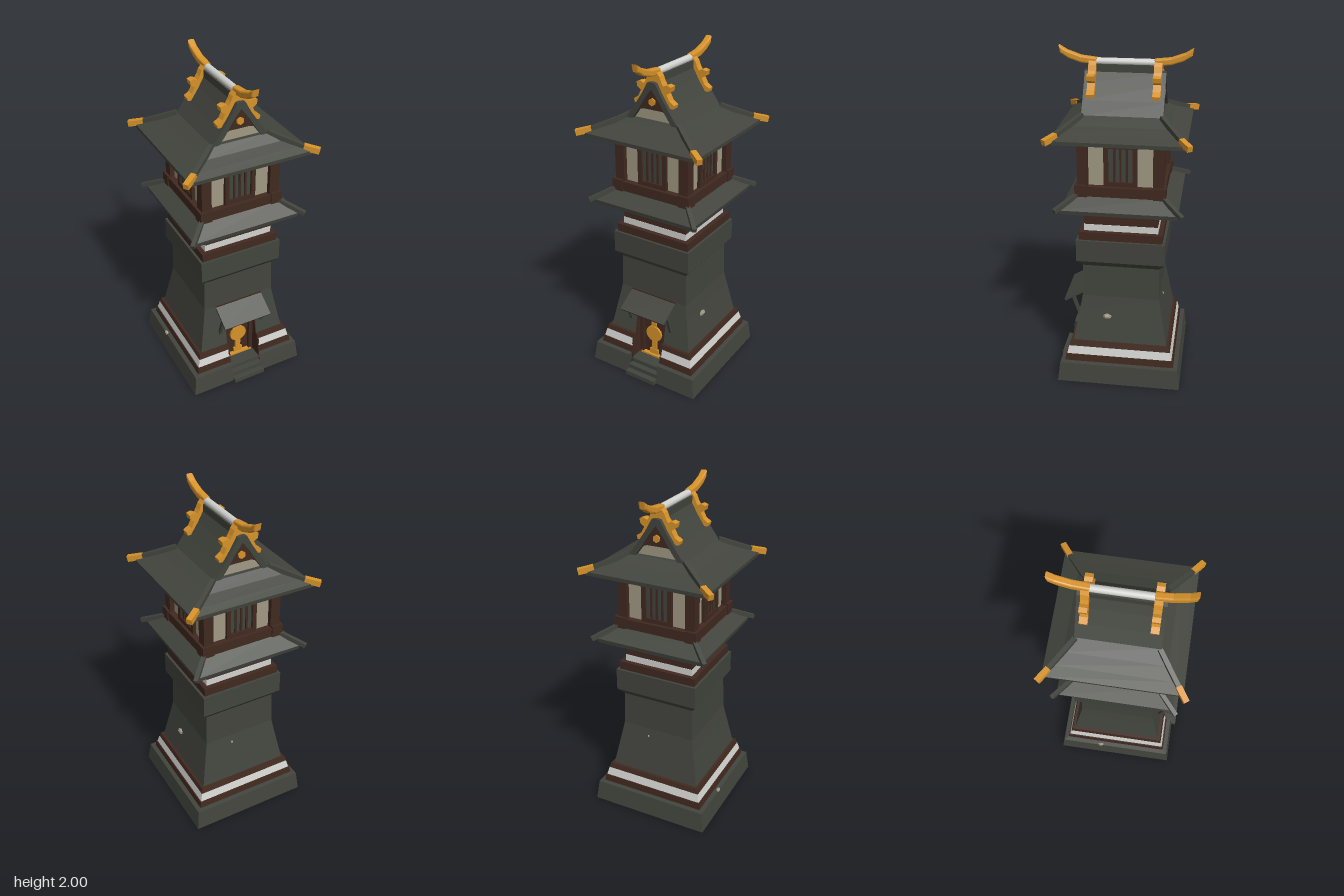
import * as THREE from 'three';

const mat = (name, color) => new THREE.MeshStandardMaterial({ name, color, side: THREE.DoubleSide });

export function createModel() {
  const slate = mat('slate', 0x42443d), brown = mat('dark timber', 0x40291f);
  const cream = mat('cream plaster', 0xa09883), white = mat('white plaster', 0xd2d2cf);
  const gold = mat('gold', 0xd6922a);
  const model = new THREE.Group();
  model.name = 'tower';

  const add = (name, geo, material, parent = model) => {
    const m = new THREE.Mesh(geo, material);
    m.name = name;
    parent.add(m);
    return m;
  };
  const box = (name, w, h, d, x, y, z, material, parent) => {
    const m = add(name, new THREE.BoxGeometry(w, h, d), material, parent);
    m.position.set(x, y, z);
    return m;
  };
  // Square bar between two points
  const beam = (name, a, b, w, h, material, parent) => {
    const p = new THREE.Vector3(...a), q = new THREE.Vector3(...b);
    const m = box(name, w, h, p.distanceTo(q), 0, 0, 0, material, parent);
    m.position.copy(p).add(q).multiplyScalar(0.5);
    m.lookAt(q);
    return m;
  };
  // Four-sided shell through rings [halfX, y, halfZ = halfX]; notch leaves a gap in the front
  const shell = (name, rings, material, notch = 0) => {
    const section = ([hx, y, hz = hx]) => {
      const corners = [[hx, hz], [hx, -hz], [-hx, -hz], [-hx, hz]];
      const pts = notch ? [[notch, hz], ...corners, [-notch, hz]] : [[-hx, hz], ...corners];
      return pts.map(([x, z]) => [x, y, z]);
    };
    const pos = [];
    for (let r = 0; r < rings.length - 1; r++) {
      const a = section(rings[r]), b = section(rings[r + 1]);
      for (let i = 0; i < a.length - 1; i++) {
        pos.push(...a[i], ...a[i + 1], ...b[i + 1], ...a[i], ...b[i + 1], ...b[i]);
      }
    }
    const g = new THREE.BufferGeometry();
    g.setAttribute('position', new THREE.Float32BufferAttribute(pos, 3));
    g.computeVertexNormals();
    return add(name, g, material);
  };
  // Flat outline extruded along z, centred on z = 0
  const plate = (pts, depth, bevel = 0) => {
    const shape = new THREE.Shape(pts.map(p => new THREE.Vector2(...p)));
    const g = new THREE.ExtrudeGeometry(shape, {
      depth: depth - 2 * bevel, bevelEnabled: bevel > 0, bevelSize: bevel, bevelThickness: bevel,
      bevelOffset: -bevel, bevelSegments: 2,
    });
    return g.translate(0, 0, -(depth - 2 * bevel) / 2);
  };
  // Outline given in (z, y), extruded across x
  const sidePlate = (pts, width, bevel) => plate(pts, width, bevel).rotateY(-Math.PI / 2);
  const mirrored = pts => [...pts, ...pts.filter(p => p[0] !== 0).reverse().map(([x, y]) => [-x, y])];

  // Hollow lower tower with a doorway in the front
  const n = 0.105;
  shell('base', [[0.33, 0.125], [0.345, 0], [0.375, 0], [0.36, 0.125], [0.325, 0.128]], slate, n);
  shell('lowerTimberBand', [[0.333, 0.126], [0.328, 0.17], [0.315, 0.17]], brown, n);
  shell('whiteBand', [[0.322, 0.17], [0.31, 0.22]], white, n);
  shell('upperTimberBand', [[0.308, 0.218], [0.31, 0.22], [0.302, 0.25], [0.28, 0.25]], brown, n);
  shell('lowerBody', [[0.285, 0.25], [0.248, 0.45]], slate, n);
  shell('upperBody', [[0.248, 0.45], [0.232, 0.54], [0.227, 0.745], [0.26, 0.785], [0.26, 0.92], [0.2, 0.92]], slate);

  // Doorway, door and steps
  for (const s of [-1, 1]) {
    const jamb = sidePlate([[0.2, 0.09], [0.33, 0.09], [0.33, 0.13], [0.305, 0.25], [0.284, 0.25], [0.247, 0.45], [0.2, 0.45]], 0.01);
    add('doorJamb', jamb, brown).position.x = s * n;
    box('doorPost', 0.03, 0.37, 0.02, s * 0.088, 0.265, 0.235, brown);
    beam('porchStrut', [s * 0.145, 0.34, 0.265], [s * 0.145, 0.48, 0.31], 0.018, 0.018, slate);
  }
  box('door', 0.21, 0.37, 0.02, 0, 0.265, 0.215, brown);
  box('doorPole', 0.036, 0.36, 0.036, 0, 0.27, 0.217, gold);
  box('doorPoleFoot', 0.06, 0.04, 0.04, 0, 0.11, 0.217, gold);
  box('doorSill', 0.18, 0.012, 0.05, 0, 0.09, 0.225, gold);
  add('doorDisc', new THREE.CylinderGeometry(0.056, 0.056, 0.044, 12).rotateX(Math.PI / 2), gold).position.set(0, 0.25, 0.217);
  [0.4, 0.365, 0.33].forEach((z, i) => box('step', 0.21, 0.028, z - 0.2, 0, 0.014 + 0.028 * i, (z + 0.2) / 2, slate));
  const porch = box('porchRoof', 0.315, 0.014, 0.158, 0, 0.49, 0.293, slate);
  porch.rotation.x = 0.535;
  box('porchBatten', 0.315, 0.012, 0.014, 0, 0.533, 0.23, brown);

  // Pale stones set in the walls
  [[0.255, 0.415, 0.08, 0.027], [0.06, 0.49, -0.238, 0.012], [-0.355, 0.125, -0.1, 0.02]].forEach(([x, y, z, r]) => {
    const g = new THREE.DodecahedronGeometry(r).scale(0.6, 0.7, 1);
    add('wallStone', g, cream).position.set(x, y, z);
  });

  // Neck bands
  box('neckLedge', 0.49, 0.05, 0.49, 0, 0.945, 0, brown);
  box('neckWhiteBand', 0.434, 0.04, 0.434, 0, 0.99, 0, white);
  box('neck', 0.43, 0.115, 0.43, 0, 1.067, 0, brown);

  // Lower roof
  shell('lowerRoof', [[0.2, 1.125], [0.33, 1.115], [0.335, 1.14], [0.245, 1.205], [0.2, 1.205]], slate);

  // Upper room
  box('sill', 0.505, 0.06, 0.505, 0, 1.228, 0, brown);
  box('room', 0.43, 0.3, 0.43, 0, 1.4, 0, cream);
  for (const sx of [-1, 1]) for (const sz of [-1, 1]) {
    box('cornerPost', 0.06, 0.29, 0.06, sx * 0.214, 1.4, sz * 0.214, brown);
    box('postFoot', 0.07, 0.07, 0.07, sx * 0.224, 1.232, sz * 0.224, brown);
    beam('lowerHipRidge', [sx * 0.24, 1.208, sz * 0.24], [sx * 0.358, 1.142, sz * 0.358], 0.025, 0.025, slate);
    beam('upperHipRidge', [sx * 0.17, 1.652, sz * 0.22], [sx * 0.335, 1.577, sz * 0.342], 0.026, 0.028, slate);
    beam('hipTip', [sx * 0.33, 1.579, sz * 0.338], [sx * 0.402, 1.56, sz * 0.39], 0.032, 0.033, gold);
  }
  for (let i = 0; i < 4; i++) {
    const win = new THREE.Group();
    win.name = 'window';
    win.rotation.y = i * Math.PI / 2;
    model.add(win);
    box('windowPane', 0.15, 0.22, 0.008, 0, 1.385, 0.217, slate, win);
    for (const s of [-1, 1]) {
      box('windowJamb', 0.026, 0.25, 0.025, s * 0.082, 1.384, 0.222, brown, win);
      box('windowRail', 0.19, 0.026, 0.025, 0, 1.384 + s * 0.112, 0.222, brown, win);
    }
    for (const x of [-0.035, 0, 0.035]) box('windowBar', 0.012, 0.21, 0.016, x, 1.384, 0.221, brown, win);
  }

  // Upper roof: hipped skirt below, gabled prism above
  shell('roofSkirt', [[0.2, 1.548], [0.37, 1.538], [0.372, 1.56], [0.31, 1.582, 0.33], [0.24, 1.61, 0.275],
    [0.165, 1.65, 0.225], [0.1, 1.65, 0.17]], slate);
  const slope = [[0.17, 1.645], [0.115, 1.72], [0.06, 1.802], [0.025, 1.865], [0, 1.87]];
  const inner = [[0, 1.83], [0.05, 1.765], [0.09, 1.70], [0.13, 1.645]];
  const outline = [...slope, ...slope.slice(0, 4).reverse().map(([x, y]) => [-x, y]),
    ...inner.slice(1).reverse().map(([x, y]) => [-x, y]), ...inner];
  add('gableRoof', plate(outline, 0.456), slate);
  box('ridgeBase', 0.055, 0.05, 0.36, 0, 1.878, 0, slate);
  add('ridgeBar', new THREE.CylinderGeometry(0.021, 0.021, 0.34, 12).rotateX(Math.PI / 2), white).position.y = 1.914;

  // Gable walls and gold ridge ornaments at both ends
  const horn = [[0.16, 1.898], [0.25, 1.905], [0.32, 1.928], [0.368, 1.958], [0.375, 2.0], [0.33, 1.973], [0.25, 1.945], [0.16, 1.935]];
  const crest = [[0.125, 1.735], [0.13, 1.755], [0.1, 1.775], [0.082, 1.81], [0.105, 1.825], [0.11, 1.852],
    [0.085, 1.86], [0.062, 1.85], [0.05, 1.87], [0.038, 1.9], [0.02, 1.92]];
  const crestInside = [[0.1, 1.735], [0, 1.85]];
  for (const s of [0, 1]) {
    const end = new THREE.Group();
    end.name = 'gableEnd';
    end.rotation.y = s * Math.PI;
    model.add(end);
    add('gableWall', plate([[-0.135, 1.64], [0.135, 1.64], [0, 1.85]], 0.01), cream, end).position.z = 0.195;
    add('gableBoard', plate([[-0.125, 1.69], [-0.06, 1.712], [0.06, 1.712], [0.125, 1.69], [0, 1.85]], 0.012), brown, end).position.z = 0.208;
    add('gableBoss', new THREE.CylinderGeometry(0.022, 0.022, 0.02, 6).rotateX(Math.PI / 2), gold, end).position.set(0, 1.758, 0.215);
    add('ridgeHorn', sidePlate(horn, 0.042, 0.009), gold, end);
    const c = [crestInside[0], ...mirrored(crest), [-0.1, 1.735], crestInside[1]];
    add('ridgeCrest', plate(c, 0.044), gold, end).position.z = 0.183;
  }
  return model;
}
